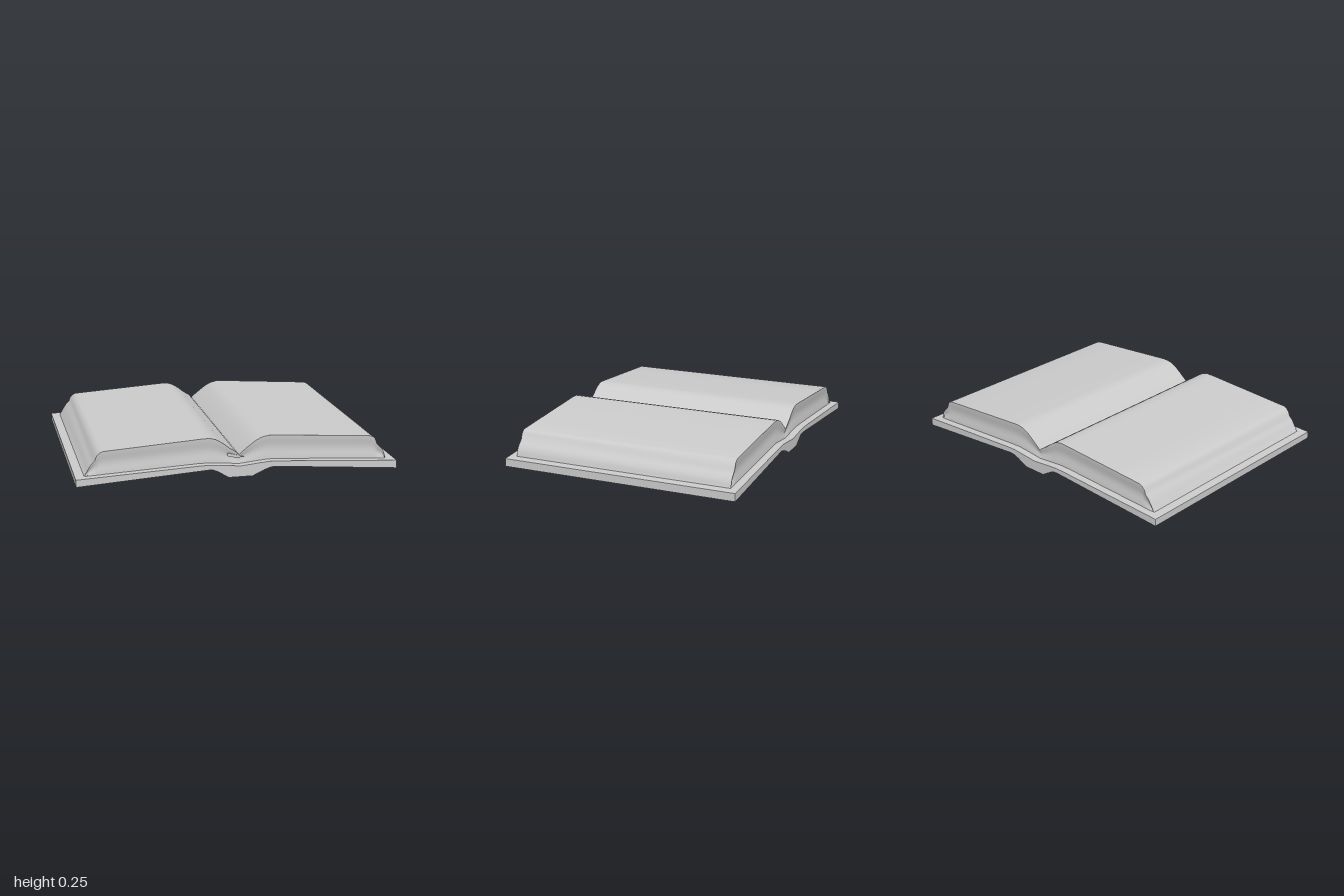
import * as THREE from 'three';
import { toCreasedNormals } from 'three/addons/utils/BufferGeometryUtils.js';

const material = new THREE.MeshStandardMaterial({ color: 0xcccccc, side: THREE.DoubleSide });

// Top line of the cover, left page edge to right page edge
const coverTop = [[-1, 0.065], [-0.25, 0.1], [-0.18, 0.1], [-0.09, 0.092], [0, 0.083],
  [0.09, 0.092], [0.18, 0.1], [0.25, 0.098], [1, 0.05]];
// Underside, with the rounded spine in the middle
const coverBottom = [[1, 0], [0.22, 0.065], [0.19, 0.063], [0.15, 0.05], [0.075, 0.015],
  [-0.075, 0.015], [-0.14, 0.055], [-0.17, 0.068], [-0.2, 0.07], [-1, 0.02]];
// Top line of the pages: stepped fore-edges and the gutter
const pageTop = [[-0.945, 0.067], [-0.92, 0.11], [-0.9, 0.14], [-0.88, 0.158], [-0.87, 0.185],
  [-0.85, 0.207], [-0.83, 0.215], [-0.23, 0.253], [-0.18, 0.254], [-0.14, 0.242], [-0.1, 0.217],
  [-0.06, 0.185], [-0.02, 0.16], [0, 0.14], [0.02, 0.158], [0.06, 0.19], [0.1, 0.22],
  [0.14, 0.241], [0.18, 0.25], [0.22, 0.25], [0.83, 0.206], [0.855, 0.2], [0.872, 0.185],
  [0.885, 0.15], [0.91, 0.125], [0.93, 0.1], [0.938, 0.075], [0.942, 0.053]];

function heightAt(line, x) {
  let i = 1;
  while (i < line.length - 1 && line[i][0] < x) i++;
  const [x0, y0] = line[i - 1], [x1, y1] = line[i];
  return THREE.MathUtils.lerp(y0, y1, (x - x0) / (x1 - x0));
}

function extrudeProfile(points, depth, crease) {
  const shape = new THREE.Shape(points.map(([x, y]) => new THREE.Vector2(x, y)));
  const geometry = new THREE.ExtrudeGeometry(shape, { depth, bevelEnabled: false });
  geometry.translate(0, 0, -depth / 2);
  return toCreasedNormals(geometry, crease);
}

// Cross-sections along x; the head and tail of the pages are slightly hollow
function pageBlock() {
  const rows = 8, half = 0.713, positions = [], index = [];
  const columns = [...pageTop];
  for (const x of [-0.63, -0.43, 0.42, 0.63]) columns.push([x, heightAt(pageTop, x)]);
  columns.sort((a, b) => a[0] - b[0]);
  const ring = 2 * (rows + 1);
  columns.forEach(([x, top]) => {
    const bottom = Math.min(heightAt(coverTop, x) - 0.004, top);
    for (let j = 0; j < ring; j++) {
      const front = j <= rows;
      const t = (front ? j : ring - 1 - j) / rows;
      const z = half - 0.009 * Math.sin(Math.PI * t) ** 2;
      positions.push(x, bottom + (top - bottom) * t, front ? z : -z);
    }
  });
  for (let i = 0; i < columns.length - 1; i++) {
    for (let j = 0; j < ring; j++) {
      const k = (j + 1) % ring;
      const a = i * ring + j, b = a + ring, c = (i + 1) * ring + k, d = i * ring + k;
      index.push(a, b, c, a, c, d);
    }
  }
  const geometry = new THREE.BufferGeometry();
  geometry.setAttribute('position', new THREE.Float32BufferAttribute(positions, 3));
  geometry.setIndex(index);
  return toCreasedNormals(geometry, 0.7);
}

export function createModel() {
  const book = new THREE.Group();
  book.name = 'openBook';
  const add = (name, geometry) => {
    const mesh = new THREE.Mesh(geometry, material);
    mesh.name = name;
    book.add(mesh);
    return mesh;
  };

  add('cover', extrudeProfile([...coverBottom, ...[...coverTop]], 1.525, 0.6));
  add('pages', pageBlock());

  // Small curled page fold at the front end of the gutter
  const fold = [[-0.07, 0.135], [-0.02, 0.122], [0.03, 0.124], [0.0, 0.136],
    [-0.025, 0.142], [-0.06, 0.152], [-0.075, 0.15]];
  add('gutterFold', extrudeProfile(fold, 0.03, 0.6)).position.z = 0.7;
  return book;
}
